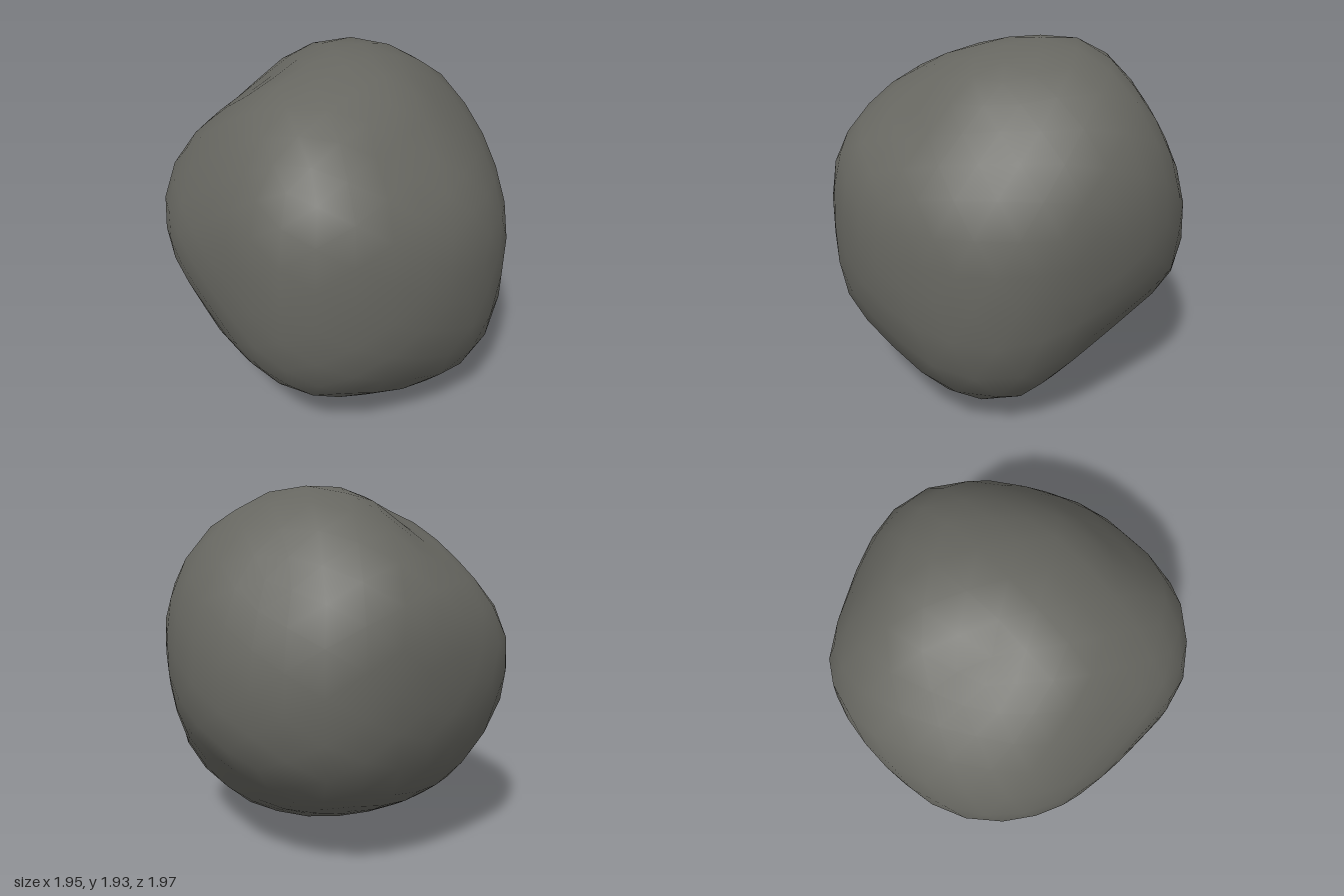
import * as THREE from 'three';
import { mergeVertices } from 'three/addons/utils/BufferGeometryUtils.js';

// A rim of the boulder: radii at equal angles, in a plane facing an azimuth and elevation (degrees).
function rim(azimuth, elevation, radii) {
  const a = THREE.MathUtils.degToRad(azimuth), e = THREE.MathUtils.degToRad(elevation);
  return {
    right: new THREE.Vector3(Math.cos(a), 0, -Math.sin(a)),
    up: new THREE.Vector3(-Math.sin(a) * Math.sin(e), Math.cos(e), -Math.cos(a) * Math.sin(e)),
    radii,
  };
}

const rims = [
  rim(0, 0, [0.99, 0.93, 0.91, 0.96, 0.98, 0.93, 0.86, 0.98, 0.99, 0.93, 0.92, 0.91, 0.95, 1.02, 1.11, 1.08]),
  rim(90, 0, [0.99, 0.95, 0.97, 1.06, 0.96, 0.92, 0.97, 1, 1, 1.02, 1.06, 0.98, 0.97, 0.86, 0.92, 1.01]),
  rim(0, 90, [0.98, 0.94, 0.96, 0.98, 0.98, 1.02, 0.95, 0.96, 0.98, 0.96, 0.88, 0.87, 0.99, 0.97, 0.95, 0.95]),
  rim(35, 25, [0.92, 1, 1.05, 1.06, 1.05, 0.86, 0.89, 0.96, 0.94, 0.86, 0.92, 0.98, 1.01, 1.08, 1.12, 0.93]),
  rim(215, 25, [0.94, 0.86, 0.89, 0.97, 0.94, 0.96, 0.97, 0.99, 0.93, 0.93, 0.88, 0.89, 0.86, 0.88, 0.92, 0.91]),
  rim(145, -25, [0.93, 1.04, 1, 1.05, 1.06, 0.95, 0.89, 0.94, 0.95, 1, 1.01, 0.99, 0.92, 0.91, 0.92, 0.93]),
];

// Shallow hollows: direction, depth, angular spread.
const hollows = [
  [new THREE.Vector3(0.42, 0.55, 0.5).normalize(), 0.08, 0.28],
  [new THREE.Vector3(-0.35, 0.85, 0.08).normalize(), 0.035, 0.22],
];

// Rim radius at any angle, blended between its neighbouring samples.
function rimRadius(radii, angle) {
  const n = radii.length, step = ((angle / (Math.PI * 2) + 1) % 1) * n;
  const i = Math.floor(step);
  return THREE.MathUtils.lerp(radii[i % n], radii[(i + 1) % n], step - i);
}

// Boulder radius along a direction: the space shared by all rims, eased toward the nearest ones.
function boulderRadius(dir) {
  let hull = Infinity, sum = 0, total = 0;
  for (const { right, up, radii } of rims) {
    const x = dir.dot(right), y = dir.dot(up), len = Math.max(Math.hypot(x, y), 0.01);
    const r = rimRadius(radii, Math.atan2(y, x)), weight = len ** 24;
    hull = Math.min(hull, r / len);
    sum += r * weight;
    total += weight;
  }
  return 0.6 * hull + 0.4 * Math.min(hull, sum / total);
}

// Average each radius with those of its neighbours.
function relax(radii, index, amount) {
  const sum = new Float32Array(radii.length), count = new Float32Array(radii.length);
  for (let i = 0; i < index.count; i += 3) {
    for (let k = 0; k < 3; k++) {
      const a = index.getX(i + k), b = index.getX(i + (k + 1) % 3);
      sum[a] += radii[b];
      count[a]++;
    }
  }
  return radii.map((r, i) => r + (sum[i] / count[i] - r) * amount);
}

// Smooth ball with every vertex moved to the boulder's radius
function boulderGeometry() {
  const ball = new THREE.IcosahedronGeometry(1, 5);
  ball.deleteAttribute('normal');
  ball.deleteAttribute('uv');
  const geometry = mergeVertices(ball, 1e-3);
  const position = geometry.attributes.position;
  const dirs = Array.from({ length: position.count },
    (_, i) => new THREE.Vector3().fromBufferAttribute(position, i).normalize());
  const radii = relax(dirs.map(boulderRadius), geometry.index, 0.6);
  dirs.forEach((dir, i) => {
    let r = radii[i];
    for (const [centre, depth, spread] of hollows) {
      r -= depth * Math.exp(-((dir.angleTo(centre) / spread) ** 2));
    }
    position.setXYZ(i, dir.x * r, dir.y * r, dir.z * r);
  });

  // Rest on the ground
  geometry.computeBoundingBox();
  geometry.translate(0, -geometry.boundingBox.min.y, 0);
  geometry.computeVertexNormals();
  return geometry;
}

export function createModel() {
  const group = new THREE.Group();
  group.name = 'rock';
  const stone = new THREE.MeshStandardMaterial({ color: 0x666660 });
  stone.name = 'stone grey';
  const boulder = new THREE.Mesh(boulderGeometry(), stone);
  boulder.name = 'boulder';
  group.add(boulder);
  return group;
}
